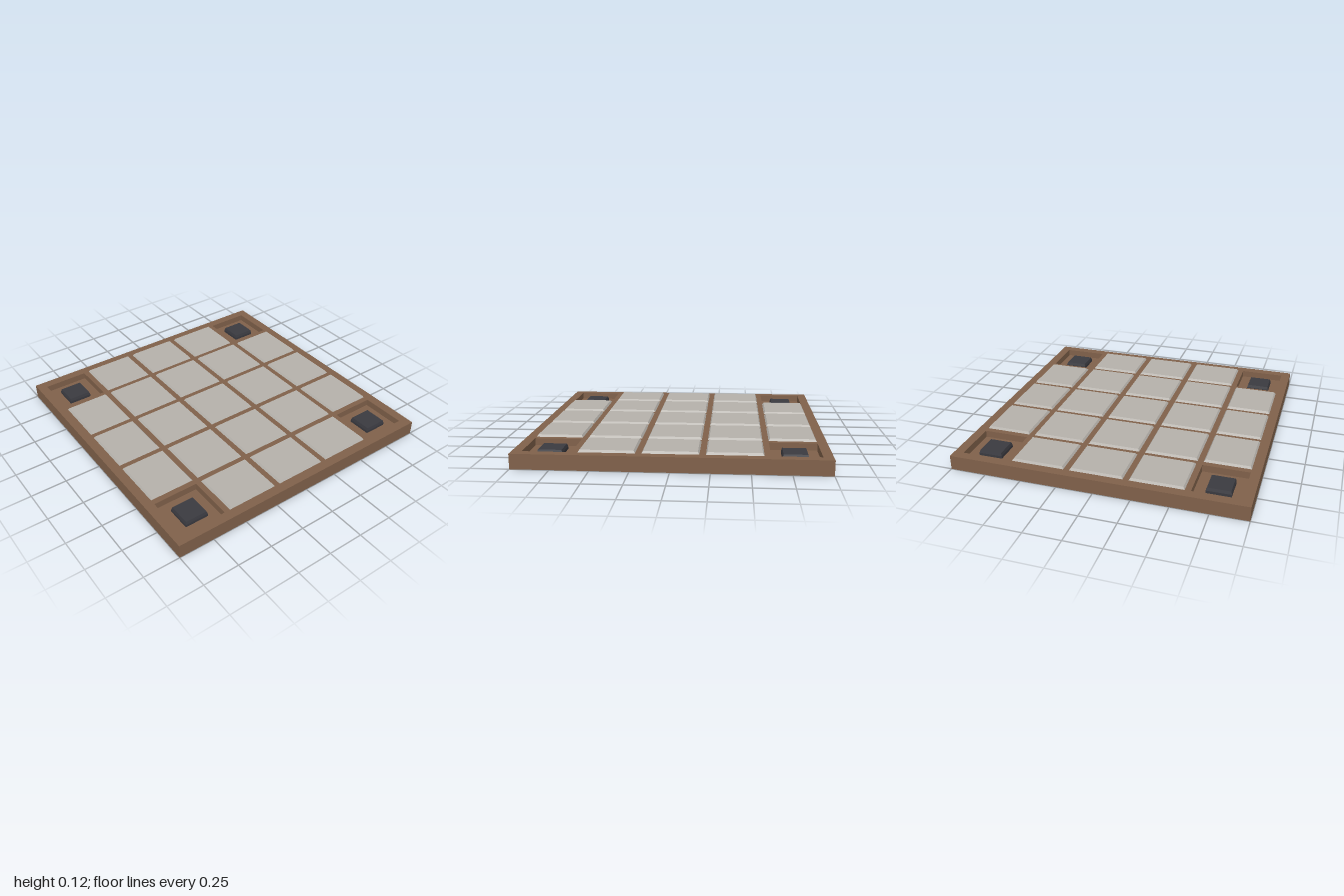
import * as THREE from 'three';

// Box from y0 to y1 whose top (and optionally bottom) edge is chamfered inwards
function chamferBox(w, d, y0, y1, inset, top = true) {
  const h = y1 - y0;
  const geo = new THREE.BoxGeometry(w, h, d, 1, 2, 1);
  const p = geo.attributes.position;
  for (let i = 0; i < p.count; i++) {
    const y = p.getY(i);
    if (top ? y > h / 4 : y < -h / 4) {
      p.setX(i, p.getX(i) - Math.sign(p.getX(i)) * inset);
      p.setZ(i, p.getZ(i) - Math.sign(p.getZ(i)) * inset);
    }
  }
  geo.translate(0, (y0 + y1) / 2, 0);
  const flat = geo.toNonIndexed();
  flat.computeVertexNormals();
  return flat;
}

function rectPath(PathType, x0, y0, x1, y1) {
  const path = new PathType();
  path.moveTo(x0, y0);
  path.lineTo(x1, y0);
  path.lineTo(x1, y1);
  path.lineTo(x0, y1);
  path.closePath();
  return path;
}

export function createModel() {
  const model = new THREE.Group();
  const wood = new THREE.MeshStandardMaterial({ color: 0x80614a });
  wood.name = 'brown wood';
  const stone = new THREE.MeshStandardMaterial({ color: 0xb5b1ab });
  stone.name = 'pale grey';
  const dark = new THREE.MeshStandardMaterial({ color: 0x3a3a40 });
  dark.name = 'charcoal';

  const add = (name, geo, mat, x = 0, z = 0) => {
    const mesh = new THREE.Mesh(geo, mat);
    mesh.name = name;
    mesh.position.set(x, 0, z);
    model.add(mesh);
  };

  // The five cells along each side; the outer ones are narrower
  const cells = [[-0.935, -0.62], [-0.58, -0.22], [-0.18, 0.18], [0.22, 0.58], [0.62, 0.935]];

  // Lattice frame with 25 open cells
  const outline = rectPath(THREE.Shape, -1, -1, 1, 1);
  for (const [x0, x1] of cells)
    for (const [z0, z1] of cells) outline.holes.push(rectPath(THREE.Path, x0, z0, x1, z1));
  const frame = new THREE.ExtrudeGeometry(outline, { depth: 0.1, bevelEnabled: false });
  frame.rotateX(-Math.PI / 2);
  add('latticeFrame', frame, wood);

  // Chamfered panels in the cells, studs in sunken corner wells
  cells.forEach(([x0, x1], i) => cells.forEach(([z0, z1], j) => {
    const x = (x0 + x1) / 2, z = (z0 + z1) / 2, w = x1 - x0, d = z1 - z0;
    if (i % 4 === 0 && j % 4 === 0) {
      const floor = new THREE.BoxGeometry(w, 0.012, d);
      floor.translate(0, 0.046, 0);
      add('cornerWellFloor', floor, wood, x, z);
      add('cornerStud', chamferBox(0.165, 0.165, 0.05, 0.09, 0.006), dark, x, z);
      add('studBase', chamferBox(0.13, 0.13, 0.036, 0.042, 0.002, false), dark, x, z);
      add('studTip', chamferBox(0.07, 0.07, 0.02, 0.038, 0.012, false), dark, x, z);
    } else {
      add('panel', chamferBox(w, d, 0.085, 0.115, 0.01), stone, x, z);
    }
  }));

  return model;
}
